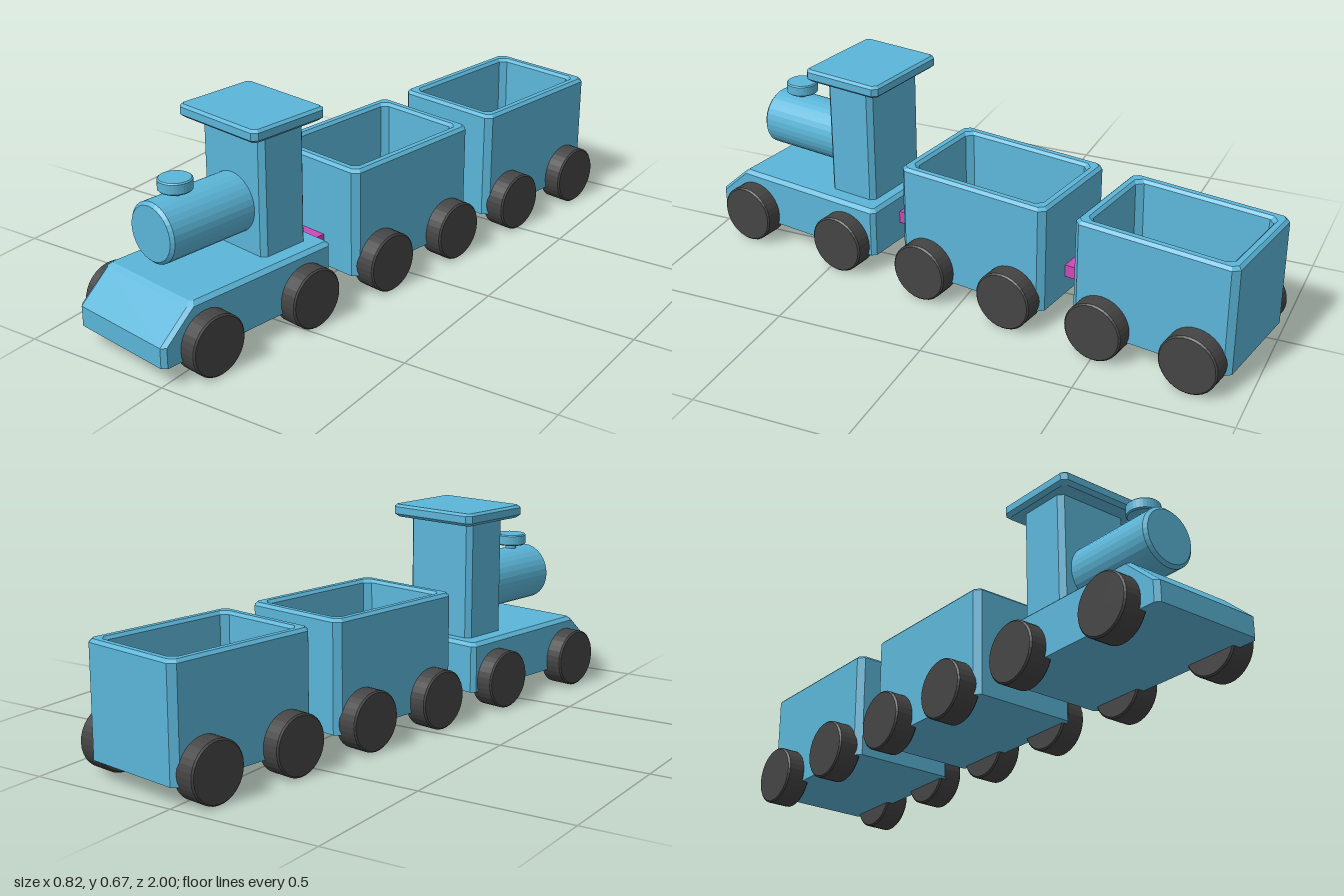
import * as THREE from 'three';

const mat = (color) => new THREE.MeshStandardMaterial({ color, flatShading: true });

// Stacks rings of corner-cut rectangles [y, halfWidth, zBack, zFront, cornerCut] and caps both ends.
function loft(rings) {
  const pos = [];
  const idx = [];
  for (const [y, w, z0, z1, c] of rings) {
    pos.push(
      w, y, z0 + c, w, y, z1 - c, w - c, y, z1, c - w, y, z1,
      -w, y, z1 - c, -w, y, z0 + c, c - w, y, z0, w - c, y, z0,
    );
  }
  for (let r = 0; r < rings.length - 1; r++) {
    for (let i = 0; i < 8; i++) {
      const a = r * 8 + i;
      const b = r * 8 + ((i + 1) % 8);
      idx.push(a, a + 8, b + 8, a, b + 8, b);
    }
  }
  const top = (rings.length - 1) * 8;
  for (let i = 1; i < 7; i++) {
    idx.push(0, i, i + 1, top, top + i + 1, top + i);
  }
  const g = new THREE.BufferGeometry();
  g.setAttribute('position', new THREE.Float32BufferAttribute(pos, 3));
  g.setIndex(idx);
  const flat = g.toNonIndexed();
  flat.computeVertexNormals();
  return flat;
}

// Solid disc or drum along y, centred, with small bevels at both ends.
function drum(radius, height, bevel, sides = 32) {
  const h = height / 2;
  const profile = [
    [0, -h], [radius - bevel, -h], [radius, bevel - h],
    [radius, h - bevel], [radius - bevel, h], [0, h],
  ].map(([x, y]) => new THREE.Vector2(x, y));
  return new THREE.LatheGeometry(profile, sides);
}

export function createModel() {
  const blue = mat(0x5bb5d8);
  const dark = mat(0x444444);
  const pink = mat(0xd048b8);

  const model = new THREE.Group();
  model.name = 'toyTrain';
  const train = new THREE.Group();
  train.name = 'train';
  train.rotation.y = THREE.MathUtils.degToRad(-10);
  train.position.x = -0.004;
  model.add(train);

  const add = (parent, name, geometry, material, x = 0, y = 0, z = 0) => {
    const mesh = new THREE.Mesh(geometry, material);
    mesh.name = name;
    mesh.position.set(x, y, z);
    parent.add(mesh);
    return mesh;
  };

  const wheelGeometry = drum(0.098, 0.084, 0.005).rotateZ(Math.PI / 2);
  const addWheels = (parent, axles) => {
    for (const z of axles) {
      for (const side of [1, -1]) {
        add(parent, side > 0 ? 'leftWheel' : 'rightWheel', wheelGeometry, dark, side * 0.21, 0.098, z);
      }
    }
  };

  // Engine: sloped-nose base, cab, roof, boiler and chimney
  const engine = new THREE.Group();
  engine.name = 'engine';
  train.add(engine);
  add(engine, 'engineBase', loft([
    [0.063, 0.195, 0.313, 0.985, 0.014],
    [0.129, 0.195, 0.313, 0.985, 0.014],
    [0.221, 0.195, 0.313, 0.882, 0.014],
    [0.233, 0.181, 0.325, 0.866, 0.008],
  ]), blue);
  add(engine, 'cab', loft([
    [0.225, 0.133, 0.358, 0.538, 0.016],
    [0.64, 0.133, 0.358, 0.538, 0.016],
  ]), blue);
  add(engine, 'roof', loft([
    [0.625, 0.158, 0.319, 0.585, 0.012],
    [0.636, 0.171, 0.306, 0.598, 0.016],
    [0.66, 0.171, 0.306, 0.598, 0.016],
    [0.668, 0.162, 0.315, 0.589, 0.012],
  ]), blue);
  add(engine, 'boiler', drum(0.097, 0.334, 0.01).rotateX(Math.PI / 2), blue, 0, 0.38, 0.687);
  add(engine, 'chimneyStem', new THREE.CylinderGeometry(0.019, 0.019, 0.06, 24), blue, 0, 0.475, 0.755);
  add(engine, 'chimneyCap', drum(0.053, 0.038, 0.004), blue, 0, 0.509, 0.755);
  addWheels(engine, [0.824, 0.432]);

  // Two open wagons, each with a hollow, slightly tapering tub
  const tub = loft([
    [0.063, 0.192, -0.271, 0.271, 0.02],
    [0.418, 0.192, -0.271, 0.271, 0.02],
    [0.428, 0.182, -0.261, 0.261, 0.016],
    [0.428, 0.164, -0.243, 0.243, 0.02],
    [0.418, 0.155, -0.234, 0.234, 0.02],
    [0.11, 0.142, -0.222, 0.222, 0.02],
  ]);
  for (const [name, z] of [['frontWagon', -0.068], ['rearWagon', -0.714]]) {
    const wagon = new THREE.Group();
    wagon.name = name;
    wagon.position.z = z;
    train.add(wagon);
    add(wagon, 'tub', tub, blue);
    addWheels(wagon, [0.161, -0.161]);
  }

  // Couplings between the vehicles
  const link = new THREE.BoxGeometry(0.1, 0.042, 0.13);
  add(train, 'frontCoupling', link, pink, 0, 0.149, 0.258);
  add(train, 'rearCoupling', link, pink, 0, 0.149, -0.391);

  return model;
}
